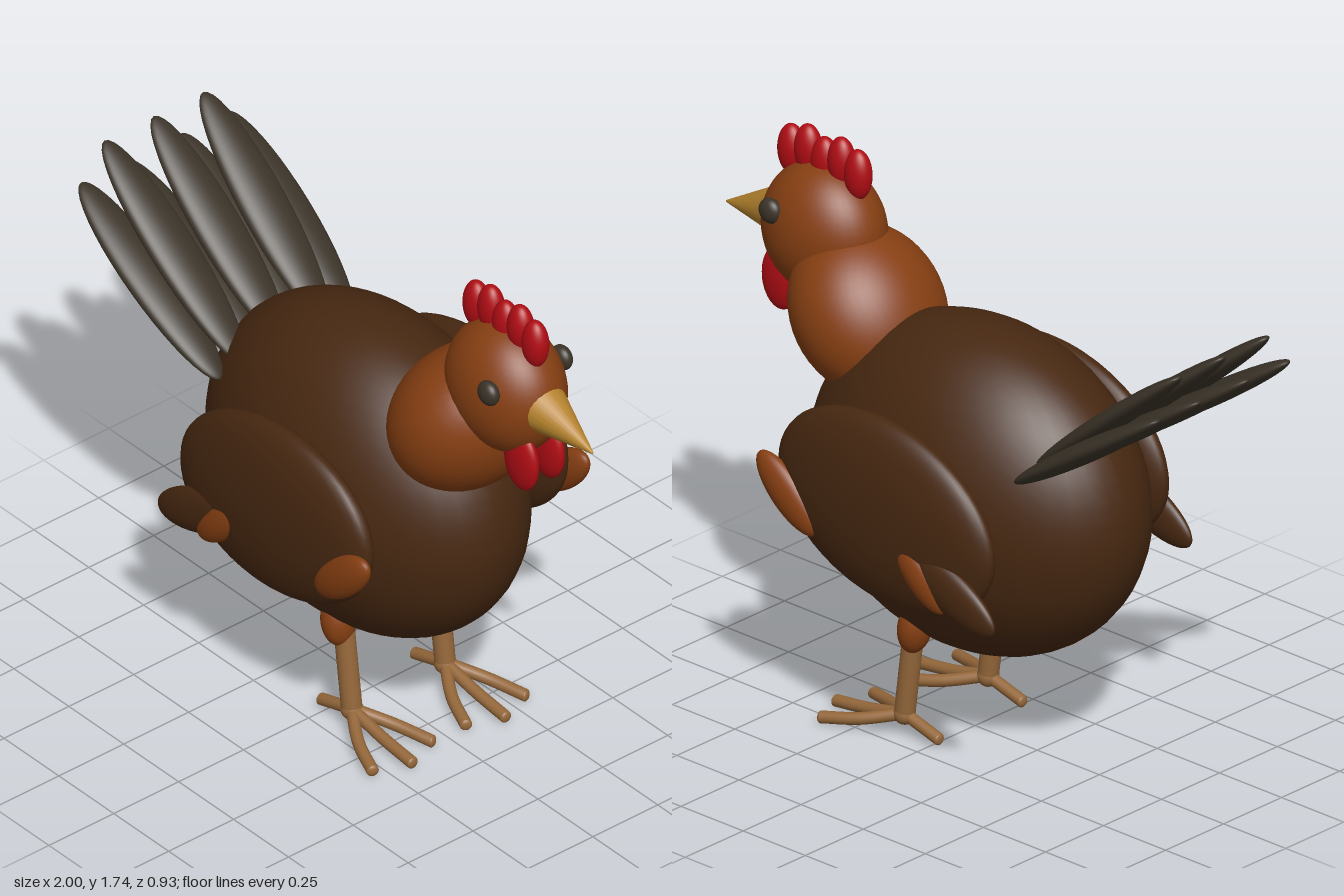
import * as THREE from 'three';

const mat = (name, color) => {
  const m = new THREE.MeshStandardMaterial({ color });
  m.name = name;
  return m;
};

export function createModel() {
  const hen = new THREE.Group();
  hen.name = 'hen';
  const brown = mat('dark brown plumage', 0x472811);
  const rust = mat('rust plumage', 0x863f12);
  const charcoal = mat('charcoal feathers', 0x3b3328);
  const red = mat('comb red', 0xb00d14);
  const horn = mat('beak horn', 0xb5832d);
  const tan = mat('leg tan', 0x94673a);

  const ball = new THREE.SphereGeometry(1, 40, 28);
  const V = (x, y, z) => new THREE.Vector3(x, y, z);

  // Ellipsoid from centre, radii and a tilt in the side plane
  function egg(name, material, pos, radii, tilt = 0, yaw = 0) {
    const mesh = new THREE.Mesh(ball, material);
    mesh.name = name;
    mesh.position.set(...pos);
    mesh.scale.set(...radii);
    mesh.rotation.set(0, yaw, tilt, 'YZX');
    hen.add(mesh);
    return mesh;
  }

  // Tapered rod between two points
  function rod(name, material, a, b, ra, rb) {
    const mesh = new THREE.Mesh(new THREE.CylinderGeometry(rb, ra, a.distanceTo(b), 24), material);
    mesh.name = name;
    mesh.position.copy(a).lerp(b, 0.5);
    mesh.quaternion.setFromUnitVectors(V(0, 1, 0), b.clone().sub(a).normalize());
    hen.add(mesh);
  }

  // Body, neck and head
  egg('body', brown, [-0.022, 0.805, 0], [0.602, 0.522, 0.37]);
  egg('neck', rust, [0.43, 1.22, 0], [0.27, 0.212, 0.245], 0.95);
  egg('head', rust, [0.605, 1.43, 0], [0.21, 0.213, 0.16]);
  rod('beak', horn, V(0.76, 1.437, 0), V(1, 1.39, 0), 0.084, 0.003);

  // Comb
  for (let i = 0; i < 5; i++) {
    egg('combPoint', red, [0.47 + i * 0.067, 1.645 + (i % 2) * 0.02, 0], [0.046, 0.08, 0.038]);
  }

  // Tail fan: upper row of three, lower row of four
  const feather = (z, tipY, baseY) => {
    const dx = -0.6, dy = tipY - baseY;
    egg('tailFeather', charcoal, [-0.7, (tipY + baseY) / 2, z],
      [Math.hypot(dx, dy) / 2, 0.034, 0.08], -Math.atan2(dy, -dx), Math.sign(z) * 0.05);
  };
  for (const z of [-0.175, 0, 0.175]) feather(z, 1.52, 1.03);
  for (const z of [-0.265, -0.09, 0.09, 0.265]) feather(z, 1.41, 1.01);

  for (const s of [1, -1]) {
    egg('eye', charcoal, [0.692, 1.505, s * 0.141], [0.04, 0.04, 0.027]);
    egg('wattle', red, [0.735, 1.245, s * 0.05], [0.071, 0.103, 0.031]);

    // Wing with rust patches and a trailing feather
    egg('wing', brown, [0.005, 0.83, s * 0.375], [0.432, 0.292, 0.09], 0.17);
    egg('wingFrontPatch', rust, [0.36, 0.79, s * 0.423], [0.152, 0.062, 0.037], 0.72);
    egg('wingRearFeather', brown, [-0.29, 0.68, s * 0.425], [0.2, 0.075, 0.034], 0.42);
    egg('wingRearPatch', rust, [-0.185, 0.695, s * 0.432], [0.13, 0.055, 0.035], 0.76);

    // Leg
    const z = s * 0.18;
    egg('thigh', rust, [0.065, 0.37, s * 0.19], [0.05, 0.085, 0.055], 0.15);
    rod('shank', tan, V(0.075, 0.38, z), V(0.115, 0.07, z), 0.032, 0.032);
    egg('ankle', tan, [0.115, 0.07, z], [0.034, 0.034, 0.034]);

    // Three front toes and one hind toe, each [tip x, sideways spread]
    for (const [tx, dz] of [[0.39, 0], [0.345, 0.115], [0.345, -0.115], [-0.022, 0]]) {
      const a = V(0.115, 0.07, z), b = V(tx, tx < 0 ? 0.03 : 0.024, z + dz);
      const mid = a.clone().lerp(b, 0.5);
      mid.y -= tx < 0 ? 0 : 0.006;
      mid.z += dz * 0.12;
      const toe = new THREE.Mesh(
        new THREE.TubeGeometry(new THREE.CatmullRomCurve3([a, mid, b]), 12, 0.019, 16), tan);
      toe.name = tx < 0 ? 'hindToe' : 'frontToe';
      hen.add(toe);
      egg('toeTip', tan, [b.x, b.y, b.z], [0.01, 0.019, 0.019], 0, -Math.atan2(dz, b.x - a.x));
    }
  }
  return hen;
}
